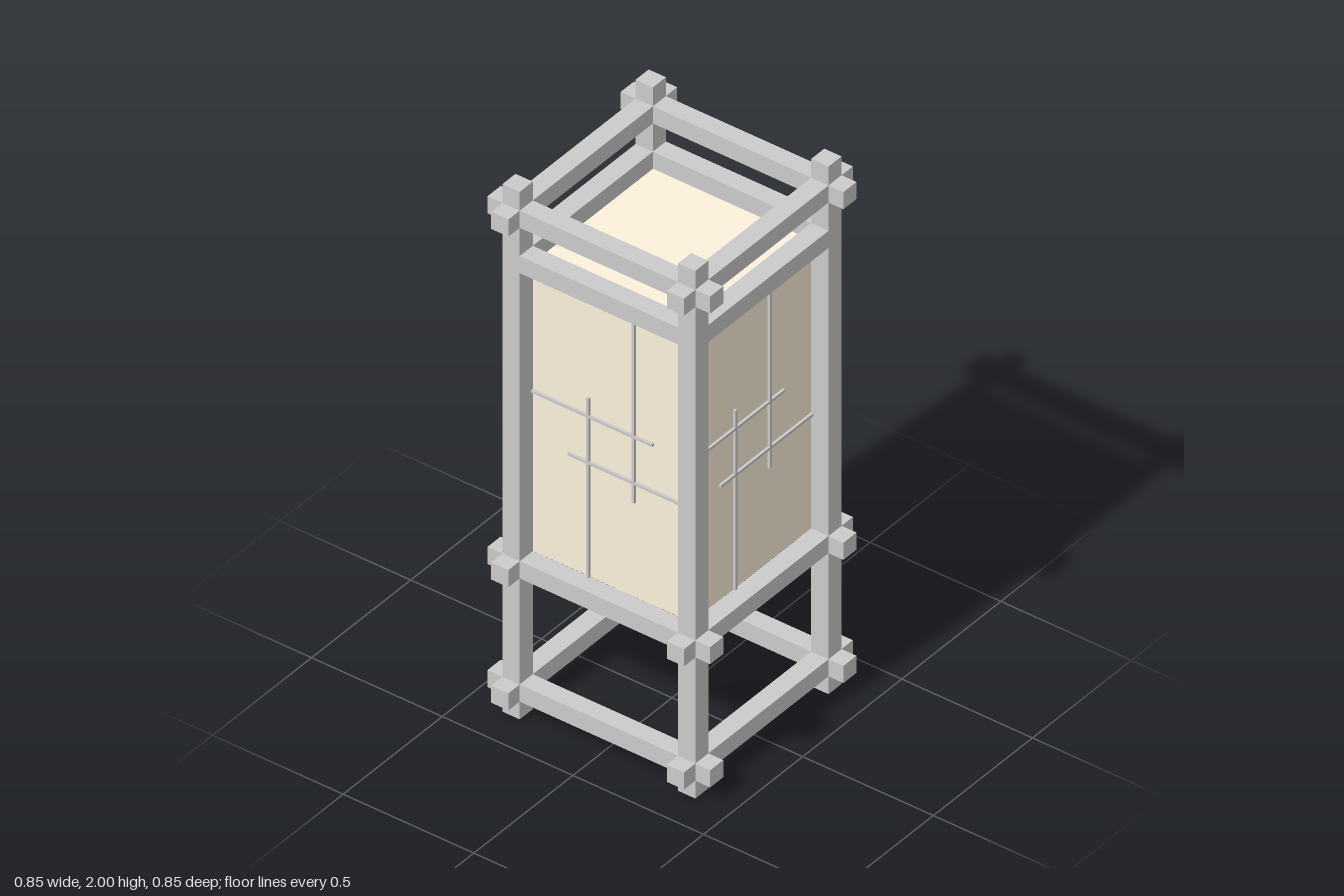
import * as THREE from 'three';

const POST = 0.336;   // post centre offset from the axis
const W = 0.066;      // timber thickness
const INNER = 0.303;  // half width of the paper box
const PAPER_BOTTOM = 0.6, PAPER_TOP = 1.692;

export function createModel() {
  const lantern = new THREE.Group();
  lantern.name = 'floorLantern';
  const wood = new THREE.MeshStandardMaterial({ color: 0xcccccc });
  const paper = new THREE.MeshStandardMaterial({ color: 0xfdf1dc });

  function box(parent, name, size, position, material = wood) {
    const mesh = new THREE.Mesh(new THREE.BoxGeometry(...size), material);
    mesh.name = name;
    mesh.position.set(...position);
    parent.add(mesh);
    return mesh;
  }

  // Four corner posts
  for (const x of [-POST, POST])
    for (const z of [-POST, POST])
      box(lantern, 'cornerPost', [W, 2, W], [x, 1, z]);

  // Square rail frames: three run past the posts, one fits between them
  const frames = [
    ['baseRail', 0.1, 0.852],
    ['lowerRail', 0.567, 0.852],
    ['paperTopRail', 1.724, 2 * INNER],
    ['crownRail', 1.896, 0.852],
  ];
  for (const [name, y, length] of frames)
    for (const s of [-POST, POST]) {
      box(lantern, name, [length, 0.065, W], [0, y, s]);
      box(lantern, name, [W, 0.065, length], [s, y, 0]);
    }

  // Closed paper box
  box(lantern, 'paperShade', [2 * INNER, PAPER_TOP - PAPER_BOTTOM, 2 * INNER],
    [0, (PAPER_TOP + PAPER_BOTTOM) / 2, 0], paper);

  // Thin lattice strips: [u0, u1, y0, y1] on each paper face
  const T = 0.01;
  const strips = [
    [0.082, 0.092, 0.96, PAPER_TOP],
    [-0.092, -0.082, PAPER_BOTTOM, 1.28],
    [-0.163, INNER, 1.03, 1.04],
    [-INNER, 0.16, 1.205, 1.215],
  ];
  for (const side of [-1, 1]) {
    const d = side * (INNER + T / 2 - 0.001);
    for (const [u0, u1, y0, y1] of strips) {
      const u = (u0 + u1) / 2, y = (y0 + y1) / 2;
      box(lantern, 'latticeStrip', [u1 - u0, y1 - y0, T], [u, y, d]);
      box(lantern, 'latticeStrip', [T, y1 - y0, u1 - u0], [d, y, u]);
    }
  }
  return lantern;
}
